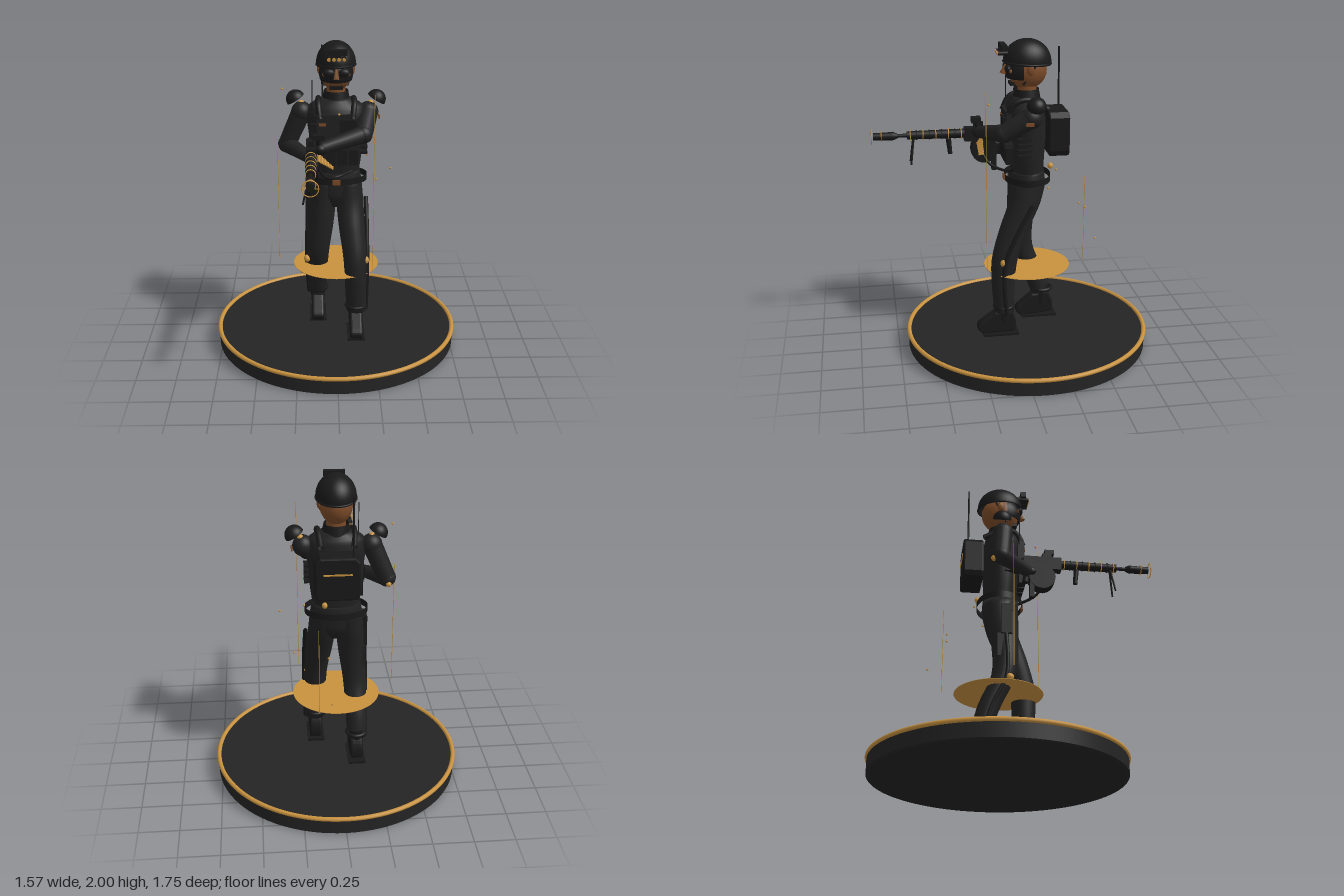
import * as THREE from 'three';

const mat = (name, color, side = THREE.FrontSide) => {
  const m = new THREE.MeshStandardMaterial({ color, side });
  m.name = name;
  return m;
};
const V = (p) => new THREE.Vector3(...p);

export function createModel() {
  const root = new THREE.Group();
  root.name = 'soldierFigure';
  const cloth = mat('clothBlack', 0x212121, THREE.DoubleSide);
  const gear = mat('gearBlack', 0x191919, THREE.DoubleSide);
  const stone = mat('baseCharcoal', 0x242424);
  const gold = mat('gold', 0xc8923f, THREE.DoubleSide);
  const skin = mat('skinBrown', 0x7a4a28);

  const add = (name, geo, m, p = [0, 0, 0], r = [0, 0, 0], s = [1, 1, 1], parent = root) => {
    const o = new THREE.Mesh(geo, m);
    o.name = name;
    o.position.set(...p);
    o.rotation.set(...r);
    o.scale.set(...s);
    parent.add(o);
    return o;
  };
  const box = (name, size, p, m = gear, r, parent) => add(name, new THREE.BoxGeometry(...size), m, p, r, undefined, parent);
  const ball = (name, s, p, m = gear) => add(name, new THREE.SphereGeometry(1, 20, 14), m, p, undefined, s);
  const rod = (name, a, b, ra, rb = ra, m = gear, parent = root) => {
    const d = V(b).sub(V(a));
    const o = add(name, new THREE.CylinderGeometry(rb, ra, d.length(), ra < 0.01 ? 6 : 18), m,
      V(a).addScaledVector(d, 0.5).toArray(), undefined, undefined, parent);
    o.quaternion.setFromUnitVectors(new THREE.Vector3(0, 1, 0), d.normalize());
    return o;
  };
  const tube = (name, pts, r, m = gear) =>
    add(name, new THREE.TubeGeometry(new THREE.CatmullRomCurve3(pts.map(V)), 24, r, 10), m);

  // Smooth body from horizontal ellipses, rows bottom to top: [x, y, z, radiusX, radiusZ]
  const loft = (name, rows, m = cloth, seg = 24) => {
    const centre = new THREE.CatmullRomCurve3(rows.map((r) => V(r.slice(0, 3))));
    const radius = new THREE.CatmullRomCurve3(rows.map((r) => new THREE.Vector3(r[3], r[4], 0)));
    const steps = (rows.length - 1) * 4, pos = [], idx = [];
    for (let i = 0; i <= steps; i++) {
      const c = centre.getPoint(i / steps), q = radius.getPoint(i / steps);
      for (let j = 0; j < seg; j++) {
        const t = (j / seg) * Math.PI * 2;
        pos.push(c.x + Math.cos(t) * q.x, c.y, c.z + Math.sin(t) * q.y);
        if (i === steps) continue;
        const a = i * seg + j, b = i * seg + (j + 1) % seg;
        idx.push(a, a + seg, b, b, a + seg, b + seg);
      }
    }
    for (let j = 1; j < seg - 1; j++) {
      const top = steps * seg;
      idx.push(0, j, j + 1, top, top + j + 1, top + j);
    }
    const g = new THREE.BufferGeometry();
    g.setAttribute('position', new THREE.Float32BufferAttribute(pos, 3));
    g.setIndex(idx);
    g.computeVertexNormals();
    return add(name, g, m);
  };

  // Display base and hovering disc
  const BZ = -0.087;
  add('base', new THREE.CylinderGeometry(0.775, 0.775, 0.1, 96), stone, [0, 0.055, BZ]);
  add('baseFoot', new THREE.CylinderGeometry(0.775, 0.76, 0.012, 96), stone, [0, 0.006, BZ]);
  add('baseRim', new THREE.TorusGeometry(0.772, 0.014, 10, 96), gold, [0, 0.105, BZ], [Math.PI / 2, 0, 0]);
  add('hoverDisc', new THREE.CylinderGeometry(0.275, 0.275, 0.003, 64), gold, [0, 0.536, BZ]);

  // Trousers: left leg steps forward, right leg trails
  loft('leftLeg', [[0.13, 0.27, 0.08, 0.064, 0.062], [0.125, 0.42, 0.085, 0.068, 0.072], [0.12, 0.62, 0.075, 0.074, 0.082],
    [0.1, 0.82, 0.01, 0.083, 0.092], [0.087, 0.98, -0.055, 0.087, 0.1], [0.075, 1.13, -0.085, 0.085, 0.11]]);
  loft('rightLeg', [[-0.125, 0.28, -0.2, 0.064, 0.062], [-0.125, 0.42, -0.155, 0.068, 0.07], [-0.12, 0.62, -0.07, 0.074, 0.075],
    [-0.1, 0.82, -0.06, 0.083, 0.085], [-0.087, 0.98, -0.075, 0.087, 0.1], [-0.075, 1.13, -0.085, 0.085, 0.11]]);
  loft('hips', [[0, 0.95, -0.075, 0.06, 0.07], [0, 1.03, -0.08, 0.15, 0.105], [0, 1.13, -0.085, 0.158, 0.11], [0, 1.18, -0.085, 0.15, 0.105]]);

  // Boots
  const shoe = new THREE.Shape();
  shoe.moveTo(-0.09, 0.01);
  shoe.lineTo(0.1, 0.005);
  shoe.quadraticCurveTo(0.15, 0.03, 0.11, 0.06);
  shoe.lineTo(0.02, 0.125);
  shoe.lineTo(-0.075, 0.13);
  shoe.quadraticCurveTo(-0.11, 0.06, -0.09, 0.01);
  const shoeGeo = new THREE.ExtrudeGeometry(shoe, { depth: 0.05, bevelSize: 0.012, bevelThickness: 0.015, bevelSegments: 3, curveSegments: 8 });
  shoeGeo.translate(0, 0, -0.025).rotateY(-Math.PI / 2);
  for (const [side, x, z, tilt] of [['left', 0.125, 0.115, 0], ['right', -0.12, -0.175, 0.08]]) {
    add(side + 'Boot', shoeGeo, gear, [x, 0.135, z], [tilt, 0, 0]);
    rod(side + 'Ankle', [x, 0.2, z - 0.035], [x, 0.33, z - 0.035], 0.045, 0.05);
    box(side + 'SolePlate', [0.11, 0.014, 0.23], [x, 0.121, z - 0.01]);
    add(side + 'Cuff', new THREE.TorusGeometry(0.06, 0.012, 8, 24), gear, [x, 0.305, z - 0.035], [Math.PI / 2, 0, 0]);
  }

  // Leg gear and knee studs
  tube('leftLegRail', [[0.192, 0.99, -0.09], [0.196, 0.8, 0.01], [0.196, 0.62, 0.08], [0.194, 0.42, 0.085], [0.19, 0.27, 0.07]], 0.014);
  tube('rightLegRail', [[-0.18, 0.98, -0.07], [-0.192, 0.6, -0.06], [-0.187, 0.42, -0.14], [-0.18, 0.28, -0.19]], 0.012);
  ball('leftKneeStud', [0.02, 0.025, 0.025], [0.188, 0.622, 0.087], gold);
  ball('rightKneeStud', [0.022, 0.024, 0.025], [-0.188, 0.582, -0.04], gold);
  box('holster', [0.04, 0.2, 0.07], [-0.175, 0.97, -0.06]);
  box('holsterGrip', [0.03, 0.06, 0.04], [-0.175, 1.06, -0.03], gear, [0.4, 0, 0]);
  box('thighPouch', [0.04, 0.15, 0.07], [-0.16, 0.8, -0.08], cloth);

  // Torso, vest and belt
  loft('torso', [[0, 1.14, -0.085, 0.14, 0.1], [0, 1.28, -0.08, 0.16, 0.112], [0, 1.42, -0.075, 0.17, 0.125],
    [0, 1.54, -0.07, 0.185, 0.125], [0, 1.6, -0.075, 0.17, 0.11], [0, 1.65, -0.08, 0.09, 0.08]]);
  rod('neck', [0, 1.62, -0.085], [0, 1.75, -0.085], 0.062, 0.058, skin);
  add('collar', new THREE.CylinderGeometry(0.075, 0.088, 0.07, 28, 1, true), gear, [0, 1.66, -0.082]);
  add('belt', new THREE.CylinderGeometry(0.195, 0.195, 0.042, 48, 1, true), gear, [0, 1.135, BZ], [0, 0, 0], [1, 1, 0.74]);
  box('buckle', [0.05, 0.034, 0.009], [0, 1.135, 0.06], skin);
  box('chestPlate', [0.24, 0.2, 0.03], [0, 1.47, 0.045], cloth);
  box('chestPocket', [0.095, 0.08, 0.03], [0.07, 1.5, 0.065]);
  box('chestPocketFlap', [0.1, 0.025, 0.034], [0.07, 1.53, 0.066]);
  box('chestPatch', [0.045, 0.018, 0.008], [-0.085, 1.51, 0.064], skin);
  for (let i = 0; i < 4; i++) {
    box('magazinePouch', [0.06, 0.12, 0.045], [-0.105 + i * 0.07, 1.31, 0.045]);
    box('magazineFlap', [0.064, 0.03, 0.05], [-0.105 + i * 0.07, 1.365, 0.047], cloth);
    box('sideRib', [0.05, 0.012, 0.08], [0.17, 1.31 + i * 0.035, -0.04]);
  }
  for (const s of [-1, 1]) {
    tube('shoulderStrap', [[s * 0.1, 1.54, 0.055], [s * 0.11, 1.62, 0.01], [s * 0.11, 1.645, -0.07], [s * 0.1, 1.58, -0.2]], 0.018);
    add('shoulderCap', new THREE.SphereGeometry(0.06, 24, 10, 0, Math.PI * 2, 0, Math.PI / 2), gear,
      [s * 0.25, 1.632, -0.1], [0, 0, -s * 0.55]);
    ball('shoulderStud', [0.02, 0.02, 0.02], [s * 0.215, 1.608, -0.09], gold);
  }
  box('sleevePatch', [0.008, 0.022, 0.05], [0.267, 1.53, -0.06], skin);

  // Backpack with aerial
  const pack = new THREE.Shape();
  pack.moveTo(-0.115, -0.125);
  for (const [x, y] of [[0.115, -0.125], [0.125, -0.1], [0.125, 0.1], [0.1, 0.125], [-0.1, 0.125], [-0.125, 0.1], [-0.125, -0.1]]) pack.lineTo(x, y);
  add('backpack', new THREE.ExtrudeGeometry(pack, { depth: 0.11, bevelSize: 0.01, bevelThickness: 0.01, bevelSegments: 2 }), gear, [0.008, 1.427, -0.32]);
  box('backpackStripe', [0.17, 0.009, 0.008], [0.008, 1.46, -0.332], gold);
  rod('backAerial', [-0.085, 1.5, -0.3], [-0.085, 1.93, -0.3], 0.006);
  rod('radioAerial', [-0.147, 1.48, 0.025], [-0.147, 1.78, 0.025], 0.003);
  box('radio', [0.05, 0.1, 0.04], [-0.135, 1.46, 0.035]);

  // Head, mask and helmet
  ball('head', [0.1, 0.118, 0.122], [0, 1.81, -0.085], skin);
  add('faceMask', new THREE.SphereGeometry(1, 28, 10, 0.08 * Math.PI, 0.84 * Math.PI, 0.3 * Math.PI, 0.33 * Math.PI), gear,
    [0, 1.81, -0.082], [0, 0, 0], [0.108, 0.12, 0.135]);
  rod('nose', [0, 1.85, 0.045], [0, 1.79, 0.065], 0.009, 0.02, skin);
  box('mouthGuard', [0.08, 0.02, 0.03], [0, 1.73, 0.01]);
  for (const s of [-1, 1]) {
    ball('ear', [0.014, 0.036, 0.024], [s * 0.102, 1.825, -0.09], skin);
    ball('gogglesLens', [0.036, 0.026, 0.02], [s * 0.045, 1.825, 0.04]);
    ball('cheek', [0.014, 0.012, 0.01], [s * 0.072, 1.815, 0.028], skin);
    rod('chinStrap', [s * 0.105, 1.85, -0.12], [s * 0.07, 1.73, -0.05], 0.008);
  }
  add('helmet', new THREE.SphereGeometry(1, 36, 16, 0, Math.PI * 2, 0, 0.54 * Math.PI), gear,
    [0, 1.864, -0.085], [-0.06, 0, 0], [0.122, 0.136, 0.148]);
  add('helmetRim', new THREE.TorusGeometry(1, 0.05, 8, 40), gear, [0, 1.855, -0.085], [Math.PI / 2 - 0.06, 0, 0], [0.121, 0.146, 0.13]);
  box('opticMount', [0.06, 0.025, 0.06], [0, 1.94, 0.06]);
  box('opticBar', [0.13, 0.035, 0.035], [0, 1.955, 0.065]);
  for (let i = 0; i < 4; i++) {
    rod('opticTube', [-0.045 + i * 0.03, 1.92, 0.04], [-0.045 + i * 0.03, 1.92, 0.1], 0.013);
    rod('opticLens', [-0.045 + i * 0.03, 1.92, 0.1], [-0.045 + i * 0.03, 1.92, 0.105], 0.011, 0.011, gold);
  }

  // Arms: right hand on the grip, left arm across the chest
  const arm = (side, a, b, c) => {
    ball(side + 'Shoulder', [0.064, 0.066, 0.066], a, cloth);
    rod(side + 'UpperArm', a, b, 0.062, 0.056, cloth);
    ball(side + 'Elbow', [0.057, 0.057, 0.057], b, cloth);
    rod(side + 'Forearm', b, c, 0.055, 0.036, cloth);
    ball(side + 'Glove', [0.042, 0.036, 0.045], c);
  };
  arm('right', [-0.215, 1.555, -0.09], [-0.308, 1.34, -0.11], [-0.165, 1.31, 0.09]);
  arm('left', [0.2, 1.555, -0.08], [0.165, 1.455, 0.085], [-0.1, 1.4, 0.2]);
  ball('elbowStud', [0.018, 0.018, 0.018], [-0.315, 1.315, -0.157], gold);
  box('wristDevice', [0.07, 0.03, 0.06], [-0.11, 1.48, 0.22]);
  rod('wristDevicePost', [-0.11, 1.4, 0.2], [-0.11, 1.48, 0.22], 0.015);

  // Gun, built along z
  const gun = new THREE.Group();
  gun.name = 'gun';
  gun.position.set(-0.155, 1.383, 0);
  root.add(gun);
  const gr = (name, z0, z1, r0, r1 = r0, m = gear) => rod(name, [0, 0, z0], [0, 0, z1], r0, r1, m, gun);
  box('receiver', [0.06, 0.085, 0.24], [0, -0.005, 0.17], gear, undefined, gun);
  box('stock', [0.045, 0.08, 0.13], [0, -0.03, -0.005], gear, undefined, gun);
  box('rearSight', [0.03, 0.04, 0.06], [0, 0.05, 0.2], gear, undefined, gun);
  gr('handguard', 0.28, 0.65, 0.029, 0.026);
  gr('barrel', 0.64, 0.74, 0.012);
  gr('muzzleCone', 0.71, 0.74, 0.015, 0.028);
  gr('muzzle', 0.74, 0.86, 0.026, 0.023);
  for (let i = 0; i < 9; i++)
    add('handguardRing', new THREE.TorusGeometry(0.029, 0.0035, 6, 20), i % 2 ? gear : gold, [0, 0, 0.31 + i * 0.04], undefined, undefined, gun);
  add('muzzleRing', new THREE.TorusGeometry(0.046, 0.003, 6, 32), gold, [0, 0, 0.87], undefined, undefined, gun);
  add('muzzleBand', new THREE.TorusGeometry(0.03, 0.003, 6, 24), gold, [0, 0, 0.81], undefined, undefined, gun);
  for (const s of [-1, 1]) {
    rod('bipodLeg', [s * 0.01, -0.02, 0.61], [s * 0.045, -0.18, 0.63], 0.007, 0.006, gear, gun);
    box('muzzleBar', [0.025, 0.004, 0.004], [s * 0.036, 0, 0.87], gold, undefined, gun);
  }
  rod('foreGrip', [0, -0.03, 0.39], [0, -0.13, 0.38], 0.017, 0.014, gear, gun);
  rod('pistolGrip', [0, -0.03, 0.08], [0, -0.14, 0.06], 0.022, 0.02, gear, gun);
  rod('drumMagazine', [-0.035, -0.105, 0.165], [0.04, -0.105, 0.165], 0.085, 0.085, gear, gun);
  box('slingHanger', [0.04, 0.14, 0.03], [-0.01, -0.18, 0.1], gear, undefined, gun);

  // Ammunition belt, hose
  for (let i = 0; i < 11; i++)
    rod('cartridge', [-0.115 + i * 0.009, 1.37 - i * 0.009, 0.18], [-0.115 + i * 0.009, 1.325 - i * 0.005, 0.215], 0.006, 0.004, gold);
  tube('hose', [[-0.12, 1.29, 0.2], [-0.07, 1.2, 0.14], [0, 1.17, 0.05], [0.1, 1.2, 0.02]], 0.009);

  // Floating sparks and light threads
  for (const p of [[-0.335, 1.692, -0.12], [0.015, 1.6, 0.155], [0.205, 1.228, -0.23], [0.35, 1.16, -0.155],
    [0.275, 1, -0.4], [0.07, 0.955, -0.41], [0.06, 0.704, -0.525]]) ball('spark', [0.007, 0.007, 0.007], p, gold);
  ball('packStud', [0.017, 0.02, 0.017], [0.08, 1.215, -0.22], gold);
  for (const [x, z, y0, y1] of [[0.226, 0.2, 0.59, 1.73], [-0.365, -0.04, 0.585, 1.4], [0.13, -0.43, 0.585, 1.15]])
    rod('lightThread', [x, y0, z], [x, y1, z], 0.002, 0.002, gold);

  return root;
}
